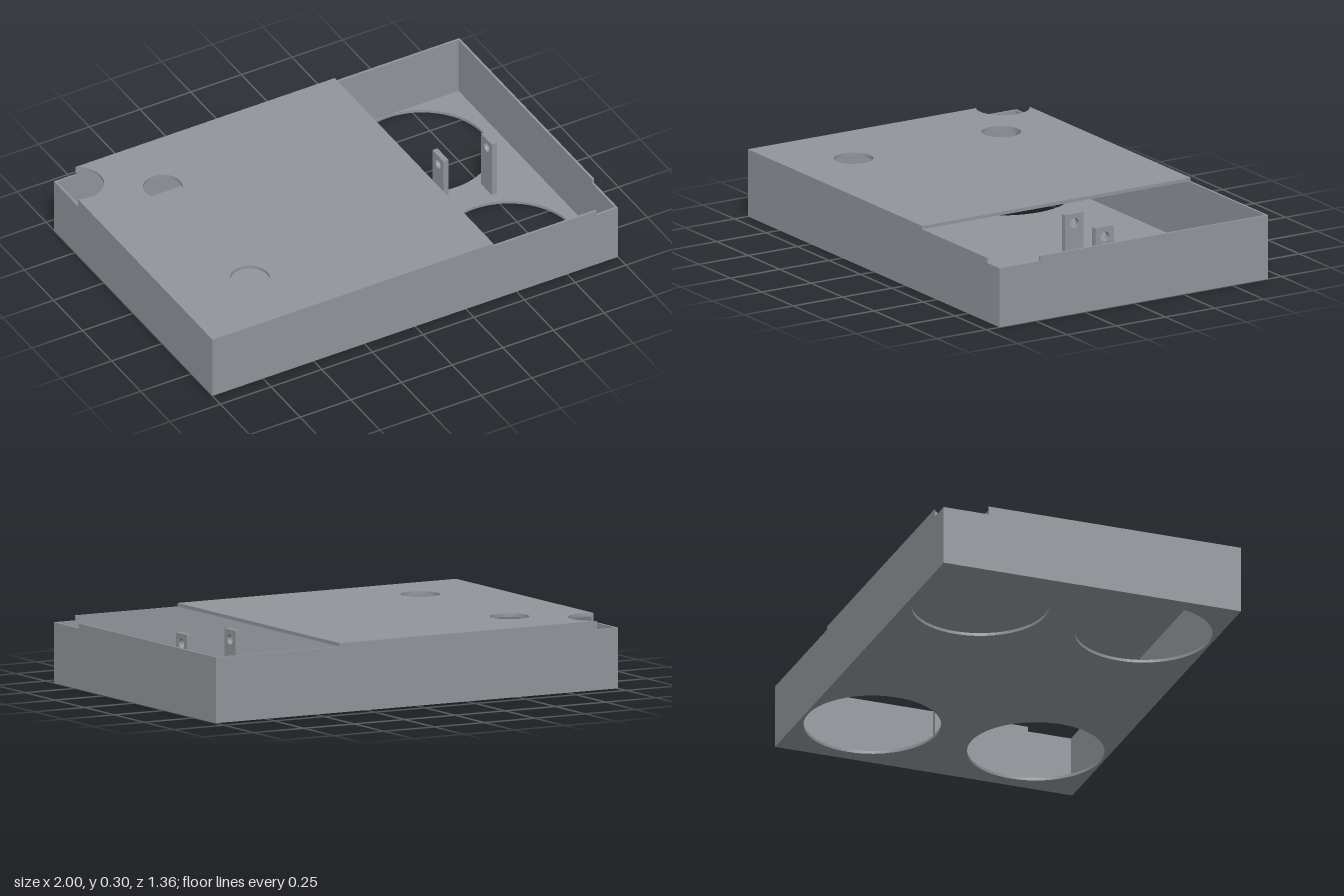
import * as THREE from 'three';

const W = 1, D = 0.682;          // half width, half depth
const T = 0.01;                  // wall thickness
const FLOOR = 0.013, WALL = 0.285, TOP = 0.3, NOTCH = 0.263;
const LID_END = 0.385;
const BITE = { x: 0.945, z: 0.578, r: 0.115 };   // round cut at two opposite corners
const NX = 0.895, NZ = 0.475;                    // where that cut meets the walls

const grey = new THREE.MeshStandardMaterial({ color: 0x92969b });
grey.name = 'grey plastic';

function polygon(points) {
  return new THREE.Shape(points.map(([x, y]) => new THREE.Vector2(x, y)));
}

function addHole(shape, x, y, r) {
  const hole = new THREE.Path();
  hole.absarc(x, y, r, 0, Math.PI * 2, true);
  shape.holes.push(hole);
}

function extrude(shape, depth) {
  return new THREE.ExtrudeGeometry(shape, { depth, bevelEnabled: false, curveSegments: 32 });
}

// shape drawn in (x, z), laid flat with its upper face at the given height
function slab(shape, thickness, top) {
  return extrude(shape, thickness).rotateX(Math.PI / 2).translate(0, top, 0);
}

// shape drawn in (z, y), thickness running from x towards -x
function sidePlate(shape, thickness, x) {
  return extrude(shape, thickness).rotateY(-Math.PI / 2).translate(x, 0, 0);
}

export function createModel() {
  const group = new THREE.Group();
  const add = (name, geometry) => {
    const mesh = new THREE.Mesh(geometry, grey);
    mesh.name = name;
    group.add(mesh);
  };

  // floor with four large round openings
  const floor = polygon([[-W, -D], [W, -D], [W, D], [-W, D]]);
  for (const x of [-0.64, 0.64]) for (const z of [-0.375, 0.375]) addHole(floor, x, z, 0.295);
  add('floor', slab(floor, FLOOR, FLOOR));

  // front and back walls, each notched at one end
  const front = polygon([[-W, FLOOR], [W, FLOOR], [W, NOTCH], [NX, NOTCH], [NX, WALL], [-W, WALL]]);
  add('frontWall', extrude(front, T).translate(0, 0, D - T));
  const back = polygon([[-W, FLOOR], [W, FLOOR], [W, WALL], [-NX, WALL], [-NX, NOTCH], [-W, NOTCH]]);
  add('backWall', extrude(back, T).translate(0, 0, -D));

  // side walls fit between them
  const E = D - T;
  const left = polygon([[-E, FLOOR], [E, FLOOR], [E, NOTCH], [NZ, NOTCH], [NZ, WALL], [-E, WALL]]);
  add('leftWall', sidePlate(left, T, W));
  const right = polygon([[-E, FLOOR], [E, FLOOR], [E, WALL], [-NZ, WALL], [-NZ, NOTCH], [-E, NOTCH]]);
  add('rightWall', sidePlate(right, T, -W + T));

  // partial lid with a rounded corner cut and two small holes
  const a0 = Math.atan2(-D + BITE.z, -NX + BITE.x);
  const a1 = Math.atan2(-NZ + BITE.z, -W + BITE.x);
  const lid = new THREE.Shape();
  lid.moveTo(-W, D);
  lid.lineTo(-W, -NZ);
  lid.absarc(-BITE.x, -BITE.z, BITE.r, a1, a0, true);
  lid.lineTo(-NX, -D);
  lid.lineTo(LID_END, -D);
  lid.lineTo(LID_END, D);
  lid.closePath();
  for (const z of [-0.375, 0.375]) addHole(lid, -0.64, z, 0.085);
  add('lid', slab(lid, TOP - WALL, TOP));

  // two upright tabs, each with a pin hole near the top
  for (const x of [0.515, 0.755]) {
    const tab = polygon([[-0.047, FLOOR], [0.047, FLOOR], [0.047, 0.283], [-0.047, 0.283]]);
    addHole(tab, 0, 0.24, 0.022);
    add('tab', sidePlate(tab, 0.025, x + 0.0125));
  }
  return group;
}
